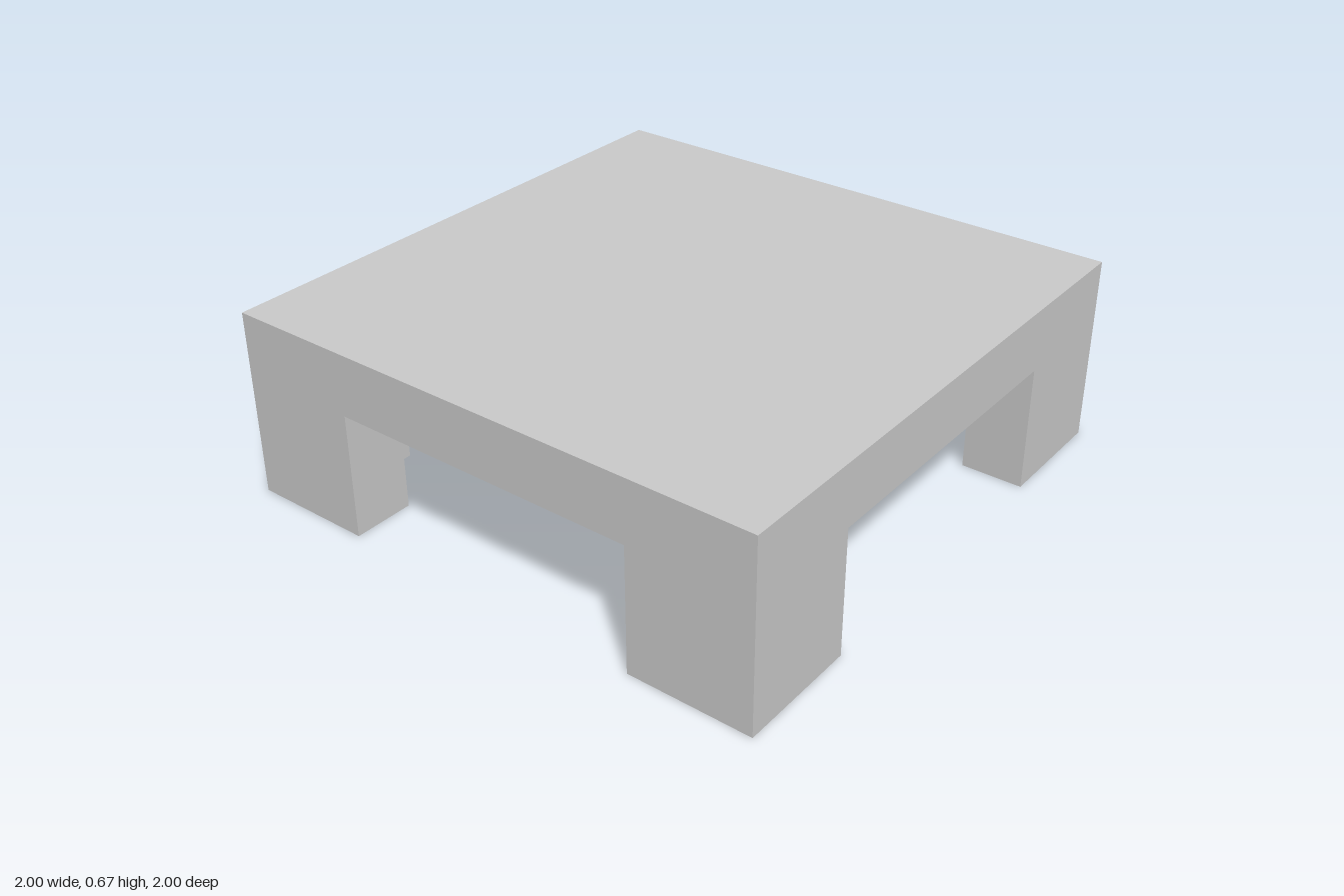
import * as THREE from 'three';

const HALF = 1, WALL = 0.222, LEG = 0.442;
const RAIL_Y = 0.45, CEILING_Y = 0.65, TOP_Y = 0.672;

const material = new THREE.MeshStandardMaterial({ color: 0xcccccc, flatShading: true });

// Closed outline in plan from corner points
const outline = (points) => points.map(([x, y]) => new THREE.Vector2(x, y));
const square = (h) => outline([[-h, -h], [h, -h], [h, h], [-h, h]]);

// Raises a plan outline from height y0 to y1
function slab(name, shape, y0, y1) {
  const geometry = new THREE.ExtrudeGeometry(shape, { depth: y1 - y0, bevelEnabled: false });
  geometry.rotateX(-Math.PI / 2);
  geometry.translate(0, y0, 0);
  const mesh = new THREE.Mesh(geometry, material);
  mesh.name = name;
  return mesh;
}

export function createModel() {
  const model = new THREE.Group();
  model.name = 'lowTable';

  // Thin top closing the hollow underside
  model.add(slab('top', new THREE.Shape(square(HALF)), CEILING_Y, TOP_Y));

  // Square rail under the top, open in the middle
  const ring = new THREE.Shape(square(HALF));
  ring.holes.push(new THREE.Path(square(HALF - WALL)));
  model.add(slab('rail', ring, RAIL_Y, CEILING_Y));

  // L-shaped corner legs, one per quarter turn
  const end = HALF - LEG, inner = HALF - WALL;
  const angle = new THREE.Shape(outline([
    [HALF, end], [HALF, HALF], [end, HALF], [end, inner], [inner, inner], [inner, end],
  ]));
  const names = ['legBackLeft', 'legBackRight', 'legFrontRight', 'legFrontLeft'];
  names.forEach((name, i) => {
    const leg = slab(name, angle, 0, RAIL_Y);
    leg.rotation.y = i * Math.PI / 2;
    model.add(leg);
  });

  return model;
}
